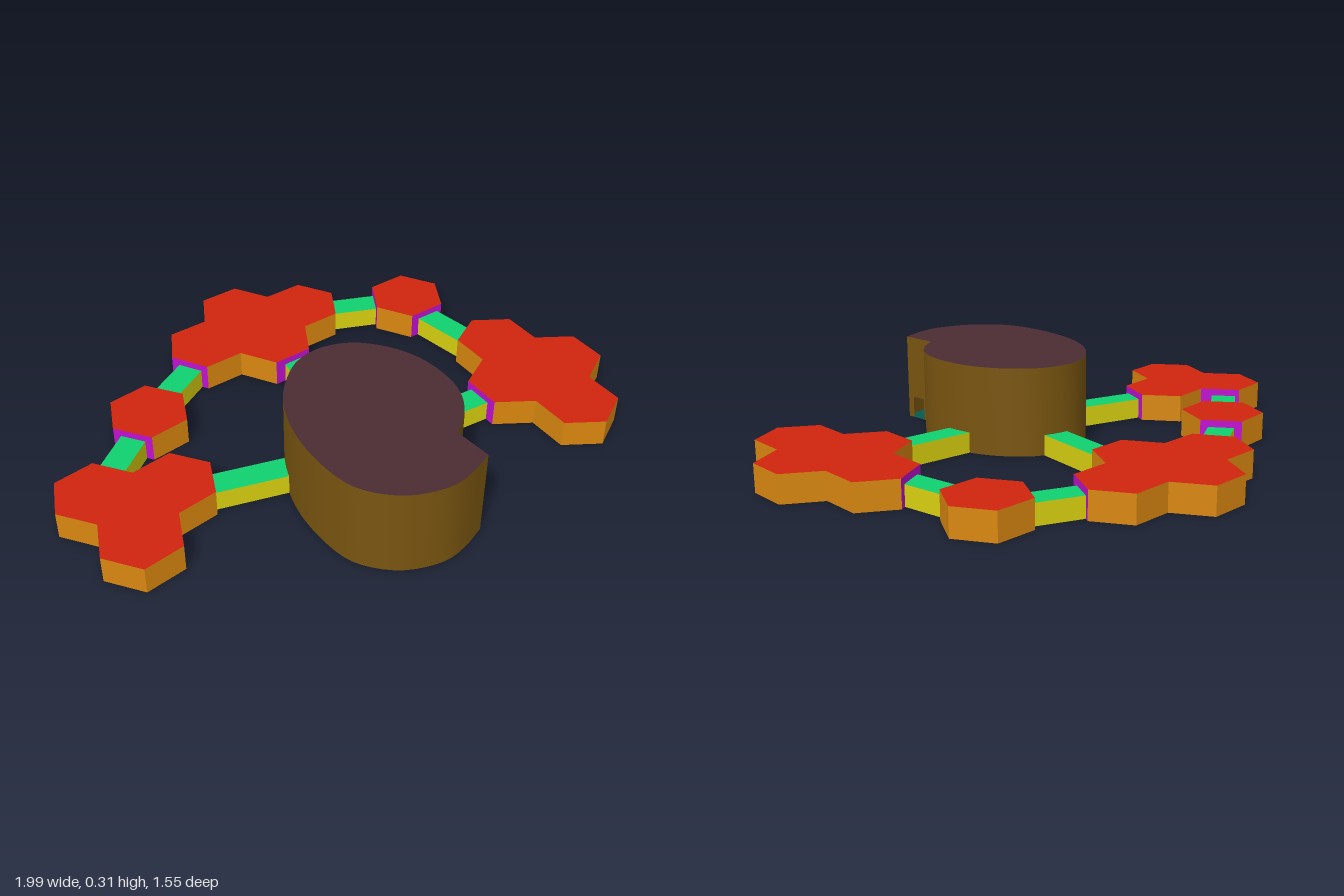
import * as THREE from 'three';
import { toCreasedNormals } from 'three/addons/utils/BufferGeometryUtils.js';

const R = 0.1445, HEX_H = 0.098, BRIDGE_H = 0.073, DRUM_H = 0.31;
const mat = (color) => new THREE.MeshStandardMaterial({ color, side: THREE.DoubleSide });
const mats = {
  hexTop: mat(0xd0250e), hexSide: mat(0xd98710), hexBase: mat(0x0f1fc0), joint: mat(0xc010d0),
  bridgeTop: mat(0x10d070), bridgeSide: mat(0xd8d010), bridgeBase: mat(0x0a6a65),
  drumTop: mat(0x4b2d33), drumSide: mat(0x795510), drumBase: mat(0x075a50),
};

function named(name, geometry, material) {
  const mesh = new THREE.Mesh(geometry, material);
  mesh.name = name;
  return mesh;
}

// Vertical panels; each is [a, b, y0, y1] with a and b as plan points (x, z)
function panels(list) {
  const pos = [];
  for (const [a, b, y0, y1] of list) {
    const a0 = [a.x, y0, a.y], a1 = [a.x, y1, a.y], b0 = [b.x, y0, b.y], b1 = [b.x, y1, b.y];
    pos.push(...a0, ...a1, ...b1, ...a0, ...b1, ...b0);
  }
  const g = new THREE.BufferGeometry();
  g.setAttribute('position', new THREE.Float32BufferAttribute(pos, 3));
  return toCreasedNormals(g, 0.5);
}

// Flat caps from a plan outline
function topCap(outline, y) {
  const shape = new THREE.Shape(outline.map((p) => new THREE.Vector2(p.x, -p.y)));
  return new THREE.ShapeGeometry(shape).rotateX(-Math.PI / 2).translate(0, y, 0);
}
function bottomCap(outline) {
  return new THREE.ShapeGeometry(new THREE.Shape(outline)).rotateX(Math.PI / 2);
}

// Outer outline of joined hexagonal cells: shared edges cancel, the rest are chained
function cellOutline(cells, x, z, degrees) {
  const centres = cells.map(([q, r]) => new THREE.Vector2(1.5 * R * q, Math.sqrt(3) * R * (r + q / 2)));
  const mean = new THREE.Vector2();
  centres.forEach((c) => mean.addScaledVector(c, 1 / cells.length));
  const key = (p) => `${Math.round(p.x * 1000 / R)},${Math.round(p.y * 1000 / R)}`;
  const snap = (p) => `${Math.round(p.x / R * 20)},${Math.round(p.y / R * 20)}`;
  const edges = new Map();
  for (const c of centres) {
    for (let i = 0; i < 6; i++) {
      const [a, b] = [i, i + 1].map((k) => new THREE.Vector2(
        c.x + R * Math.cos(k * Math.PI / 3), c.y + R * Math.sin(k * Math.PI / 3)));
      const twin = `${snap(b)}|${snap(a)}`;
      if (edges.has(twin)) edges.delete(twin);
      else edges.set(`${snap(a)}|${snap(b)}`, [a, b]);
    }
  }
  const next = new Map([...edges.values()].map(([a, b]) => [snap(a), b]));
  const outline = [];
  let p = [...edges.values()][0][0];
  for (let i = 0; i < edges.size; i++) {
    outline.push(p);
    p = next.get(snap(p));
  }
  const turn = THREE.MathUtils.degToRad(degrees), origin = new THREE.Vector2();
  return outline.map((v) => v.clone().sub(mean).rotateAround(origin, turn).add(new THREE.Vector2(x, z)));
}

// Bridges as plan end points: x, z to x, z
const bridges = [
  [-0.515, 0.147, -0.255, 0.213],
  [-0.773, -0.078, -0.628, -0.195],
  [-0.43, -0.35, -0.28, -0.44],
  [0.372, -0.484, 0.527, -0.425],
  [0.65, -0.243, 0.682, -0.062],
  [0.49, 0.262, 0.25, 0.25],
  [0.067, -0.275, 0.035, 0.0],
];

function buildPlatform(name, cells, x, z, degrees) {
  const group = new THREE.Group();
  group.name = name;
  const outline = cellOutline(cells, x, z, degrees);
  const plain = [], joints = [];
  outline.forEach((a, i) => {
    const b = outline[(i + 1) % outline.length];
    const mid = a.clone().add(b).multiplyScalar(0.5);
    const met = bridges.some((e) => Math.min(
      Math.hypot(e[0] - mid.x, e[1] - mid.y), Math.hypot(e[2] - mid.x, e[3] - mid.y)) < 0.04);
    (met ? joints : plain).push([a, b, 0, HEX_H]);
  });
  group.add(
    named('platformTop', topCap(outline, HEX_H), mats.hexTop),
    named('platformBase', bottomCap(outline), mats.hexBase),
    named('platformWall', panels(plain), mats.hexSide),
  );
  if (joints.length) group.add(named('bridgeJoint', panels(joints), mats.joint));
  return group;
}

function buildBridge([x0, z0, x1, z1]) {
  const length = Math.hypot(x1 - x0, z1 - z0) + 0.04;
  const { bridgeSide: s, bridgeTop: t, bridgeBase: b } = mats;
  const mesh = named('bridge', new THREE.BoxGeometry(length, BRIDGE_H, 0.09), [s, s, t, b, s, s]);
  mesh.position.set((x0 + x1) / 2, BRIDGE_H / 2, (z0 + z1) / 2);
  mesh.rotation.y = -Math.atan2(z1 - z0, x1 - x0);
  return mesh;
}

// Hollow spiral drum with a small doorway in its step
function buildDrum() {
  const group = new THREE.Group();
  group.name = 'spiralDrum';
  const plan = [
    [0.127, 0.723], [0.04, 0.758], [-0.05, 0.773], [-0.18, 0.735], [-0.265, 0.66], [-0.302, 0.59],
    [-0.318, 0.43], [-0.3, 0.29], [-0.25, 0.16], [-0.18, 0.07], [-0.1, 0.008], [-0.01, -0.013],
    [0.095, 0.012], [0.18, 0.083], [0.243, 0.19], [0.265, 0.32], [0.25, 0.43], [0.195, 0.525], [0.115, 0.59],
  ].map(([x, z]) => new THREE.Vector3(x, z, 0));
  const outline = new THREE.CatmullRomCurve3(plan).getSpacedPoints(64).map((p) => new THREE.Vector2(p.x, p.y));
  const walls = outline.slice(1).map((b, i) => [outline[i], b, 0, DRUM_H]);
  const inner = outline[outline.length - 1], outer = outline[0];
  const d0 = inner.clone().lerp(outer, 0.37), d1 = inner.clone().lerp(outer, 0.8);
  walls.push([inner, d0, 0, DRUM_H], [d0, d1, 0.08, DRUM_H], [d1, outer, 0, DRUM_H]);
  group.add(
    named('drumWall', panels(walls), mats.drumSide),
    named('drumRoof', topCap(outline, DRUM_H), mats.drumTop),
    named('drumFloor', bottomCap(outline), mats.drumBase),
  );
  return group;
}

export function createModel() {
  const model = new THREE.Group();
  model.name = 'hexagonPlatforms';
  const single = [[0, 0]], triple = [[0, 0], [1, 0], [0, 1]], quad = [[0, 0], [0, 1], [1, 0], [-1, 1]];
  model.add(
    buildPlatform('backPlatform', quad, 0.042, -0.522, -3),
    buildPlatform('leftPlatform', quad, 0.744, 0.27, 90),
    buildPlatform('rightPlatform', triple, -0.768, 0.119, -8.4),
    buildPlatform('rightSteppingStone', single, -0.53, -0.272, -8),
    buildPlatform('leftSteppingStone', single, 0.639, -0.366, -2.5),
    buildDrum(),
  );
  bridges.forEach((b) => model.add(buildBridge(b)));
  return model;
}
